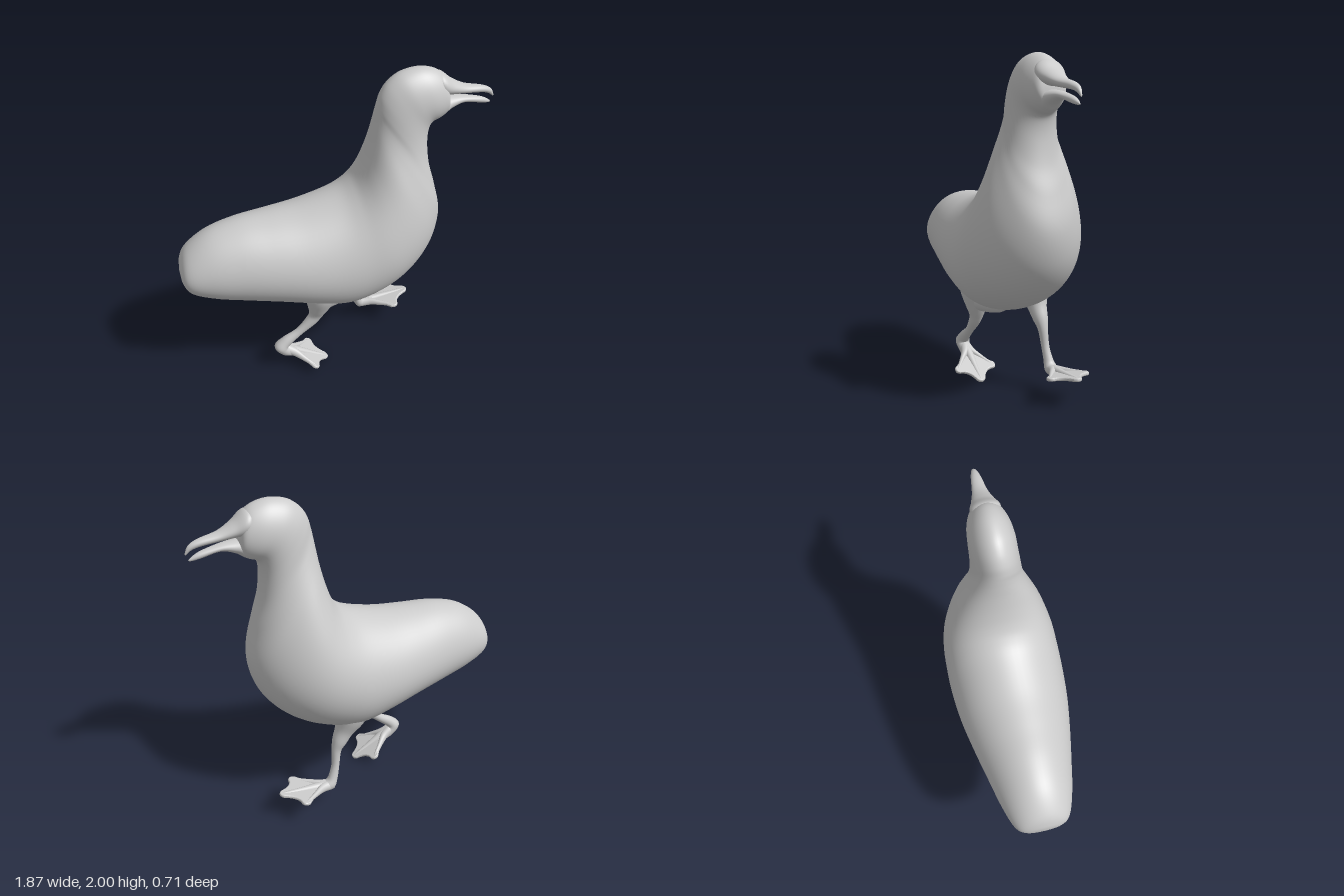
import * as THREE from 'three';

const material = new THREE.MeshStandardMaterial({ color: 0xcccccc });

function addMesh(parent, name, geometry) {
  const mesh = new THREE.Mesh(geometry, material);
  mesh.name = name;
  parent.add(mesh);
  return mesh;
}

// Smooth skin over oval rings: [topX, topY, bottomX, bottomY, halfWidth, z].
// egg makes each ring wider towards its bottom.
function loft(rings, { steps = 6, sides = 40, egg = 0 } = {}) {
  const curve = (f) => new THREE.CatmullRomCurve3(
    rings.map((r) => new THREE.Vector3(...f(r))), false, 'catmullrom', 0.5);
  const tops = curve((r) => [r[0], r[1], r[4]]);
  const bottoms = curve((r) => [r[2], r[3], r[5]]);
  const rows = (rings.length - 1) * steps;
  const positions = [], index = [];
  for (let i = 0; i <= rows; i++) {
    const a = tops.getPoint(i / rows), b = bottoms.getPoint(i / rows);
    const width = Math.max(a.z, 0);
    for (let j = 0; j < sides; j++) {
      const t = (j / sides) * Math.PI * 2, c = Math.cos(t), s = Math.sin(t);
      positions.push(
        (a.x + b.x) / 2 + c * (a.x - b.x) / 2,
        (a.y + b.y) / 2 + c * (a.y - b.y) / 2,
        b.z + width * s * (1 - egg * c));
      if (i < rows) {
        const p = i * sides + j, q = i * sides + (j + 1) % sides;
        index.push(p, q, p + sides, q, q + sides, p + sides);
      }
    }
  }
  const geometry = new THREE.BufferGeometry();
  geometry.setAttribute('position', new THREE.Float32BufferAttribute(positions, 3));
  geometry.setIndex(index);
  geometry.computeVertexNormals();
  return geometry;
}

// Tapered limb along points [x, y, z, radius]
function limb(points) {
  const rings = points.map(([x, y, z, r], i) => {
    const p = points[Math.max(i - 1, 0)], n = points[Math.min(i + 1, points.length - 1)];
    const d = new THREE.Vector2(n[0] - p[0], n[1] - p[1]).normalize();
    return [x - d.y * r, y + d.x * r, x + d.y * r, y - d.x * r, r, z];
  });
  return loft(rings, { sides: 20 });
}

// Webbed foot: heel at the origin, toes towards +x, lying flat
function webbedFoot(name) {
  const foot = new THREE.Group();
  foot.name = name;
  const web = new THREE.Shape();
  web.moveTo(0.02, 0.022);
  web.quadraticCurveTo(0.11, 0.04, 0.185, 0.125);
  web.quadraticCurveTo(0.215, 0.135, 0.222, 0.112);
  web.quadraticCurveTo(0.222, 0.05, 0.31, 0.02);
  web.quadraticCurveTo(0.335, 0, 0.31, -0.02);
  web.quadraticCurveTo(0.222, -0.05, 0.222, -0.112);
  web.quadraticCurveTo(0.215, -0.135, 0.185, -0.125);
  web.quadraticCurveTo(0.11, -0.04, 0.02, -0.022);
  const geometry = new THREE.ExtrudeGeometry(web, {
    depth: 0.006, bevelEnabled: true, bevelThickness: 0.008, bevelSize: 0.008,
    bevelSegments: 3, curveSegments: 10,
  });
  geometry.rotateX(-Math.PI / 2).translate(0, -0.003, 0);
  addMesh(foot, 'web', geometry);
  // Middle and side toes
  for (const side of [-1, 0, 1]) {
    const length = side ? 0.2 : 0.315;
    addMesh(foot, 'toe', limb([
      [-0.04, 0, 0, 0.01], [-0.02, 0.002, 0, 0.032], [0.05, 0.003, side * 0.018, 0.029],
      [length * 0.6, 0.002, side * 0.065, 0.018], [length, 0, side * 0.118, 0.011],
      [length + 0.01, 0, side * 0.122, 0],
    ]));
  }
  return foot;
}

export function createModel() {
  const bird = new THREE.Group();
  bird.name = 'bird';

  // Body, neck and head as one skin, from the tail to the face
  addMesh(bird, 'body', loft([
    [-0.94, 0.865, -0.94, 0.855, 0, 0],
    [-0.928, 0.93, -0.928, 0.79, 0.105, 0],
    [-0.88, 1.01, -0.88, 0.72, 0.165, 0],
    [-0.75, 1.10, -0.75, 0.665, 0.212, 0],
    [-0.58, 1.147, -0.58, 0.628, 0.252, 0],
    [-0.39, 1.165, -0.36, 0.588, 0.297, 0],
    [-0.2, 1.19, -0.15, 0.54, 0.333, 0],
    [0, 1.25, 0.03, 0.5, 0.35, 0],
    [0.095, 1.31, 0.2, 0.53, 0.35, 0],
    [0.145, 1.38, 0.38, 0.615, 0.34, 0],
    [0.18, 1.48, 0.52, 0.735, 0.31, 0],
    [0.207, 1.6, 0.61, 0.88, 0.262, 0.005],
    [0.222, 1.7, 0.645, 1.06, 0.205, 0.01],
    [0.23, 1.76, 0.605, 1.25, 0.166, 0.015],
    [0.238, 1.81, 0.56, 1.4, 0.145, 0.022],
    [0.255, 1.87, 0.54, 1.53, 0.135, 0.022],
    [0.295, 1.93, 0.54, 1.62, 0.13, 0.02],
    [0.365, 1.98, 0.557, 1.67, 0.127, 0.02],
    [0.465, 2.0, 0.6, 1.69, 0.118, 0.02],
    [0.55, 1.985, 0.635, 1.712, 0.1, 0.02],
    [0.605, 1.95, 0.65, 1.74, 0.08, 0.02],
    [0.63, 1.9, 0.65, 1.79, 0.045, 0.02],
    [0.645, 1.845, 0.645, 1.843, 0, 0.02],
  ], { sides: 56, egg: 0.1 }));

  // Parted, hooked beak
  addMesh(bird, 'upperBeak', loft([
    [0.52, 1.93, 0.56, 1.84, 0.05, 0.02],
    [0.59, 1.962, 0.61, 1.825, 0.083, 0.02],
    [0.667, 1.907, 0.67, 1.822, 0.064, 0.02],
    [0.746, 1.867, 0.745, 1.815, 0.043, 0.02],
    [0.85, 1.845, 0.85, 1.804, 0.027, 0.02],
    [0.905, 1.82, 0.895, 1.79, 0.015, 0.02],
    [0.927, 1.78, 0.918, 1.773, 0.005, 0.02],
    [0.926, 1.768, 0.926, 1.768, 0, 0.02],
  ]));
  addMesh(bird, 'lowerBeak', loft([
    [0.54, 1.8, 0.56, 1.71, 0.04, 0.02],
    [0.6, 1.808, 0.61, 1.697, 0.07, 0.02],
    [0.67, 1.805, 0.665, 1.733, 0.052, 0.02],
    [0.745, 1.797, 0.745, 1.758, 0.034, 0.02],
    [0.85, 1.775, 0.85, 1.738, 0.021, 0.02],
    [0.9, 1.75, 0.895, 1.732, 0.009, 0.02],
    [0.915, 1.735, 0.915, 1.735, 0, 0.02],
  ]));

  // Left leg, pushing off behind
  addMesh(bird, 'leftLeg', limb([
    [-0.1, 0.68, 0.13, 0.11], [-0.115, 0.58, 0.125, 0.1], [-0.13, 0.48, 0.12, 0.066],
    [-0.145, 0.42, 0.115, 0.044], [-0.175, 0.37, 0.115, 0.036], [-0.255, 0.29, 0.115, 0.026],
    [-0.34, 0.225, 0.115, 0.035], [-0.375, 0.185, 0.115, 0.045], [-0.345, 0.145, 0.113, 0.04],
    [-0.28, 0.112, 0.11, 0.032], [-0.22, 0.085, 0.11, 0.012],
  ]));
  // Low belly fold joining the rear thigh
  addMesh(bird, 'bellyFold', limb([
    [-0.19, 0.55, 0.1, 0], [-0.13, 0.54, 0.1, 0.075], [-0.02, 0.55, 0.085, 0.082],
    [0.1, 0.57, 0.06, 0.07], [0.18, 0.6, 0.05, 0],
  ]));
  const leftFoot = webbedFoot('leftFoot');
  leftFoot.position.set(-0.34, 0.15, 0.11);
  leftFoot.rotation.z = -0.49;
  leftFoot.scale.x = 0.93;
  bird.add(leftFoot);

  // Right leg, stepping ahead
  addMesh(bird, 'rightLeg', limb([
    [0.06, 0.68, -0.17, 0.11], [0.09, 0.59, -0.17, 0.09], [0.13, 0.51, -0.17, 0.06],
    [0.165, 0.44, -0.175, 0.046], [0.188, 0.38, -0.18, 0.031], [0.2, 0.28, -0.19, 0.025],
    [0.22, 0.2, -0.2, 0.029], [0.245, 0.15, -0.205, 0.038], [0.3, 0.145, -0.205, 0.028],
    [0.36, 0.152, -0.205, 0.01],
  ]));
  const rightFoot = webbedFoot('rightFoot');
  rightFoot.position.set(0.255, 0.14, -0.205);
  rightFoot.rotation.z = 0.15;
  bird.add(rightFoot);

  return bird;
}
